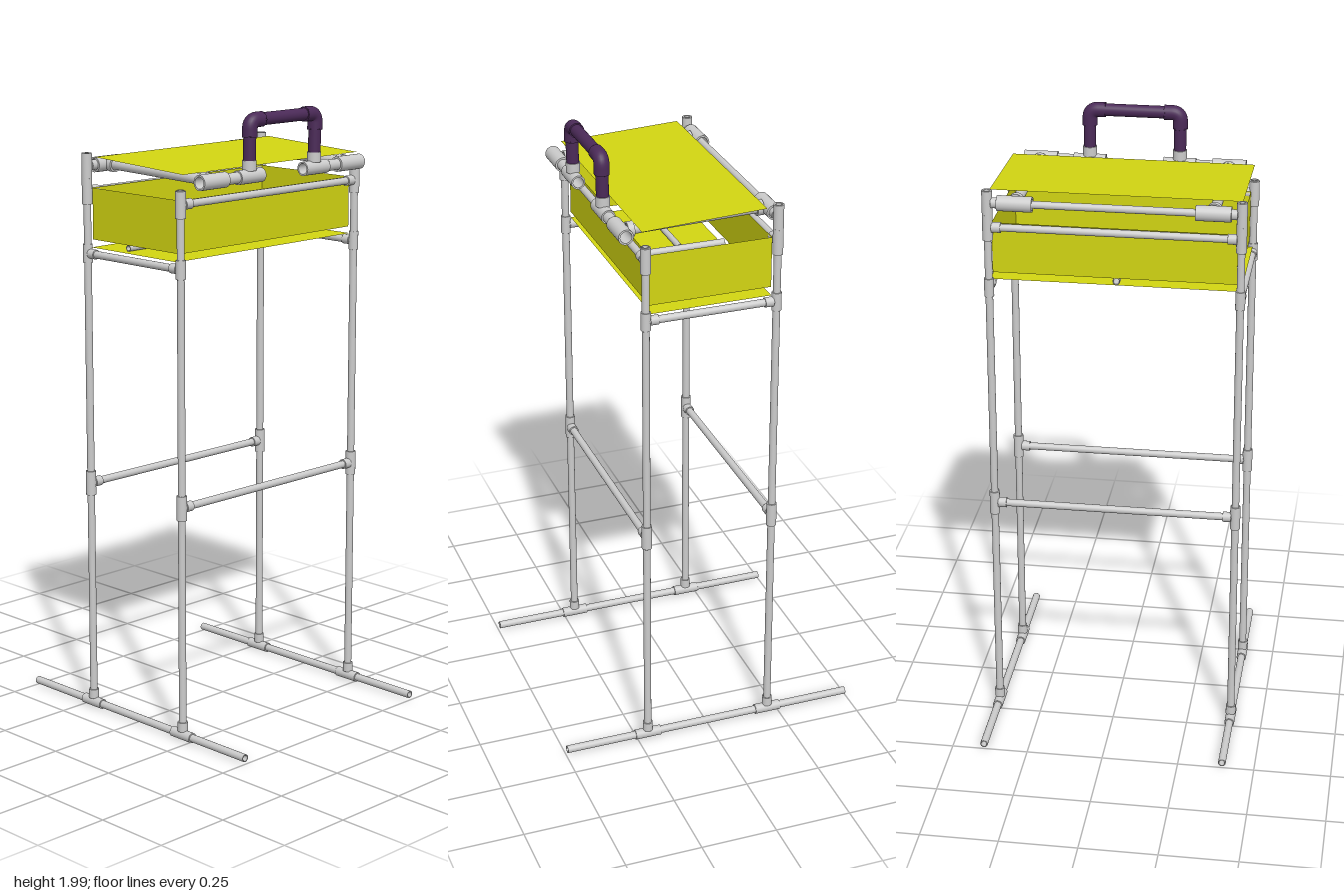
import * as THREE from 'three';

const grey = new THREE.MeshStandardMaterial({ color: 0xcccccc });
const yellow = new THREE.MeshStandardMaterial({ color: 0xd2d512, side: THREE.DoubleSide });
const purple = new THREE.MeshStandardMaterial({ color: 0x4b2a58 });
const V = (x, y, z) => new THREE.Vector3(x, y, z);
const UP = V(0, 1, 0);
const PIPE = 0.012, FIT = 0.0165;

export function createModel() {
  const model = new THREE.Group();

  // Hollow round pipe from a to b
  function pipe(name, a, b, r = PIPE, mat = grey, parent = model) {
    const dir = b.clone().sub(a), h = dir.length() / 2, ri = r * 0.76;
    // each corner is doubled so the rims stay crisp
    const p = [[ri, -h], [r, -h], [r, -h + 1e-4], [r, h - 1e-4], [r, h], [ri, h], [ri, h - 1e-4], [ri, -h + 1e-4], [ri, -h]];
    const geo = new THREE.LatheGeometry(p.map(([x, y]) => new THREE.Vector2(x, y)), 24);
    const mesh = new THREE.Mesh(geo, mat);
    mesh.name = name;
    mesh.position.copy(a).add(b).multiplyScalar(0.5);
    mesh.quaternion.setFromUnitVectors(UP, dir.normalize());
    parent.add(mesh);
    return mesh;
  }

  // Tee fitting: sleeve along one direction, stem along another
  function tee(name, c, along, stem, half = 0.044, r = FIT, reach = half) {
    const g = new THREE.Group();
    g.name = name;
    const at = (d, k) => c.clone().addScaledVector(d, k);
    pipe('sleeve', at(along, -half), at(along, half), r, grey, g);
    pipe('stem', at(stem, r * 0.8), at(stem, reach), r, grey, g);
    model.add(g);
  }

  // Thin sheet
  function panel(name, w, h, pos, rx = 0, ry = 0) {
    const m = new THREE.Mesh(new THREE.PlaneGeometry(w, h), yellow);
    m.name = name;
    m.position.copy(pos);
    m.rotation.set(rx, ry, 0);
    model.add(m);
  }

  const X = 0.395, Z = 0.213, BASE = 0.022, MID = 0.778, SHELF = 1.535, RAIL = 1.735, HINGE = 1.815;
  const zAxis = V(0, 0, 1);

  // Feet, legs and their fittings
  for (const s of [-1, 1]) {
    const x = s * X, inward = V(-s, 0, 0);
    pipe('footBar', V(x, BASE, -0.498), V(x, BASE, 0.494), 0.0125);
    pipe('shelfSideRail', V(x, SHELF, -Z), V(x, SHELF, Z));
    for (const t of [-1, 1]) {
      const z = t * Z, top = t < 0 ? 1.855 : 1.78;
      pipe('leg', V(x, BASE, z), V(x, top, z));
      tee('footTee', V(x, BASE, z), zAxis, UP);
      tee('middleTee', V(x, MID, z), UP, inward, 0.04);
      tee('shelfTee', V(x, SHELF, z), UP, V(0, 0, -t), 0.03, 0.0155, 0.04);
      tee('railTee', V(x, RAIL, z), UP, inward, 0.042);
      if (t < 0) tee('hingeRailTee', V(x, HINGE, z), UP, inward, 0.04, FIT, 0.05);
    }
  }

  // Cross rails
  for (const z of [-Z, Z]) {
    pipe('middleCrossRail', V(-X, MID, z), V(X, MID, z));
    pipe('topCrossRail', V(-X, RAIL, z), V(X, RAIL, z));
  }
  pipe('hingeRail', V(-X, HINGE, -Z), V(X, HINGE, -Z));

  // Open box of sheets and the floor sheet below it
  const wallY = 1.6625, wallH = 0.165;
  for (const s of [-1, 1]) {
    panel('boxLongWall', 0.77, wallH, V(0, wallY, s * 0.198));
    panel('boxEndWall', 0.396, wallH, V(s * 0.385, wallY, 0), 0, Math.PI / 2);
  }
  panel('boxFloor', 0.79, 0.39, V(0, 1.556, 0), -Math.PI / 2);

  // Loose pipes lying on the floor
  pipe('floorPipe', V(-0.005, 1.569, -0.195), V(-0.005, 1.569, 0.1));
  pipe('floorCrossPipe', V(-0.37, 1.567, -0.05), V(-0.02, 1.567, -0.05), 0.01);
  pipe('floorCrossPipe', V(0.03, 1.567, 0.05), V(0.34, 1.567, 0.05), 0.01);

  // Tilted lid
  panel('lid', 0.788, 0.4, V(0, 1.836, 0.023), -Math.PI / 2 + 0.045);

  // Lid arms, hinge tees and front handle tees
  const FY = 1.803, FZ = 0.262;
  for (const s of [-1, 1]) {
    const back = V(s * 0.308, HINGE, -Z), front = V(s * 0.308, FY, FZ);
    const dir = front.clone().sub(back).normalize();
    pipe('lidArm', back.clone().addScaledVector(dir, 0.02), front.clone().addScaledVector(dir, -0.02), 0.0165);
    tee('lidHingeTee', back, V(1, 0, 0), dir, 0.055, 0.0245, 0.04);
    tee('lidFrontTee', front, V(1, 0, 0), dir.clone().negate(), 0.055, 0.0245, 0.04);
    pipe('handleLink', V(s * 0.16, FY, FZ), V(s * 0.3, FY, FZ), 0.018);
    tee('handleTee', V(s * 0.147, FY, FZ), V(1, 0, 0), UP, 0.053, 0.0225, 0.05);
  }

  // Handle: grip, uprights and rounded elbows
  const handle = new THREE.Group();
  handle.name = 'handle';
  model.add(handle);
  const HX = 0.147, HY = 1.976, HZ = 0.264;
  pipe('handleGrip', V(-HX + 0.04, HY, HZ), V(HX - 0.04, HY, HZ), 0.02, purple, handle);
  for (const s of [-1, 1]) {
    const x = s * HX;
    pipe('handleUpright', V(x, 1.825, FZ), V(x, HY - 0.04, HZ), 0.02, purple, handle);
    const bend = new THREE.CurvePath();
    const p = [V(x, HY - 0.052, HZ), V(x, HY - 0.028, HZ), V(x - s * 0.028, HY, HZ), V(x - s * 0.052, HY, HZ)];
    bend.add(new THREE.LineCurve3(p[0], p[1]));
    bend.add(new THREE.QuadraticBezierCurve3(p[1], V(x, HY, HZ), p[2]));
    bend.add(new THREE.LineCurve3(p[2], p[3]));
    const elbow = new THREE.Mesh(new THREE.TubeGeometry(bend, 20, 0.024, 24), purple);
    elbow.name = 'handleElbow';
    handle.add(elbow);
    // elbow rims
    pipe('elbowRim', p[0], p[0].clone().add(V(0, 0.004, 0)), 0.0241, purple, handle);
    pipe('elbowRim', p[3], p[3].clone().add(V(s * 0.004, 0, 0)), 0.0241, purple, handle);
  }

  return model;
}
